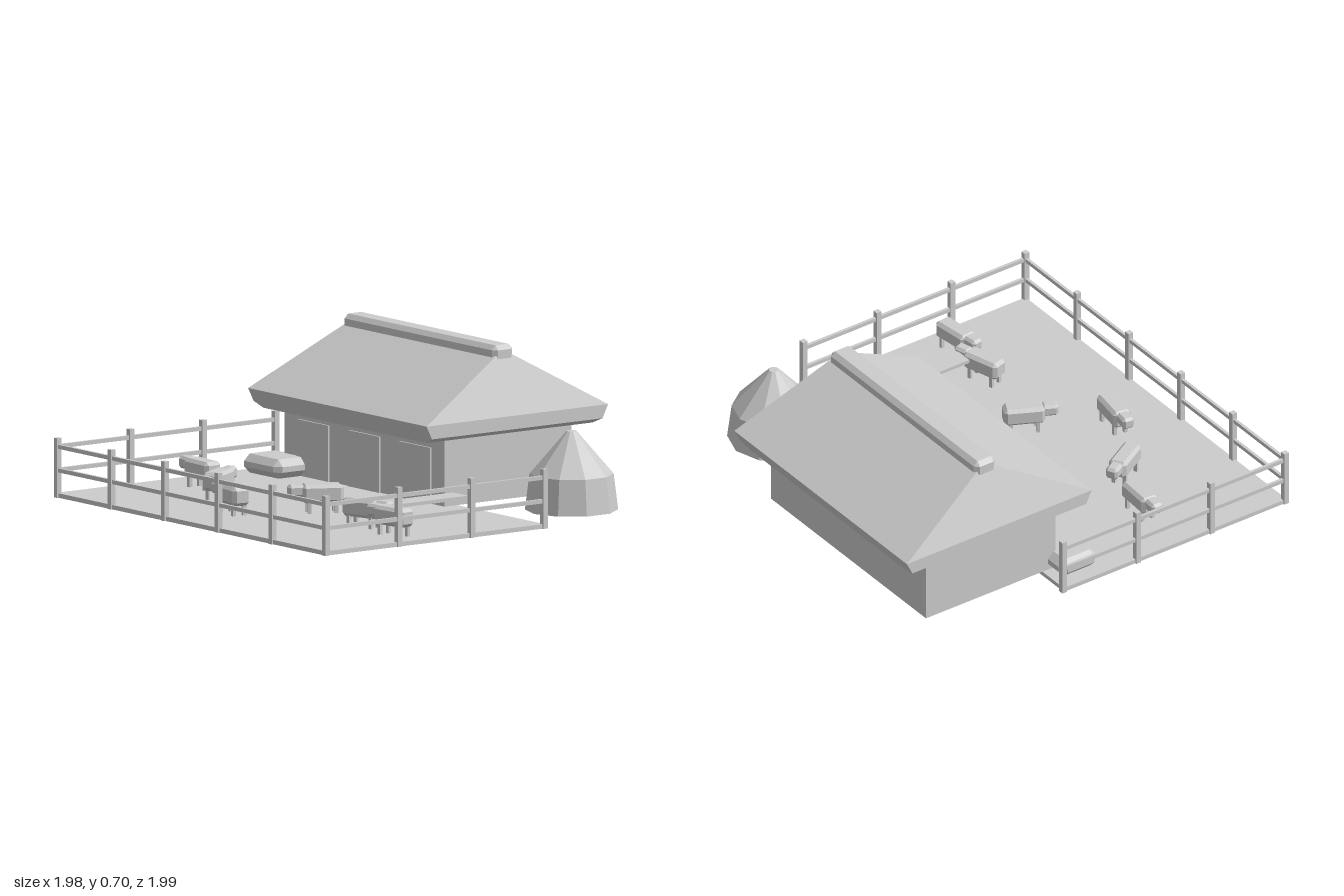
import * as THREE from 'three';
import { ConvexGeometry } from 'three/addons/geometries/ConvexGeometry.js';

const clay = new THREE.MeshStandardMaterial({ color: 0xcccccc });
clay.name = 'light grey';
clay.flatShading = true;

function add(parent, name, geometry, x = 0, y = 0, z = 0) {
  const mesh = new THREE.Mesh(geometry, clay);
  mesh.name = name;
  mesh.position.set(x, y, z);
  parent.add(mesh);
  return mesh;
}

// Box given by its limits on each axis
function span(parent, name, [x0, x1], [y0, y1], [z0, z1]) {
  return add(parent, name, new THREE.BoxGeometry(x1 - x0, y1 - y0, z1 - z0),
    (x0 + x1) / 2, (y0 + y1) / 2, (z0 + z1) / 2);
}

// Box with all edges chamfered by b
function chamferBox(w, h, d, b) {
  const points = [];
  for (const i of [-0.5, 0.5]) for (const j of [-0.5, 0.5]) for (const k of [-0.5, 0.5]) {
    const cx = Math.sign(i) * b, cy = Math.sign(j) * b, cz = Math.sign(k) * b;
    points.push(
      new THREE.Vector3(i * w, j * h - cy, k * d - cz),
      new THREE.Vector3(i * w - cx, j * h, k * d - cz),
      new THREE.Vector3(i * w - cx, j * h - cy, k * d));
  }
  return new ConvexGeometry(points);
}

function createBarn() {
  const barn = new THREE.Group();
  barn.name = 'barn';
  span(barn, 'walls', [-0.82, 0.345], [0.02, 0.33], [-0.85, -0.15]);
  for (const x of [-0.605, -0.235, 0.135])
    span(barn, 'door', [x - 0.115, x + 0.115], [0.02, 0.27], [-0.15, -0.142]);

  // Steep-ended roof: ridge, eave edge, and two tapering rings beneath it
  const points = [new THREE.Vector3(-0.77, 0.68, -0.5), new THREE.Vector3(0.305, 0.68, -0.5)];
  const ring = (y, x0, x1, z0, z1) => {
    for (const x of [x0, x1]) for (const z of [z0, z1]) points.push(new THREE.Vector3(x, y, z));
  };
  ring(0.40, -0.885, 0.412, -1, 0);
  ring(0.34, -0.885, 0.412, -0.97, -0.03);
  ring(0.315, -0.83, 0.355, -0.957, -0.043);
  add(barn, 'roof', new ConvexGeometry(points));
  add(barn, 'ridgeCap', chamferBox(1.11, 0.08, 0.112, 0.02), -0.235, 0.66, -0.5);
  return barn;
}

function createSilo() {
  const silo = new THREE.Group();
  silo.name = 'silo';
  silo.position.set(0.74, 0, -0.55);
  add(silo, 'siloWall', new THREE.CylinderGeometry(0.185, 0.205, 0.16, 10), 0, 0.1, 0);
  add(silo, 'siloRoof', new THREE.CylinderGeometry(0.022, 0.185, 0.19, 10), 0, 0.275, 0);
  return silo;
}

function createFence() {
  const fence = new THREE.Group();
  fence.name = 'fence';
  const post = (x, z) => add(fence, 'post', new THREE.BoxGeometry(0.025, 0.265, 0.025), x, 0.1325, z);
  for (let i = 0; i < 6; i++) post(-0.975 + i * 0.39, 0.98);
  for (const x of [-0.975, 0.975]) for (const z of [-0.22, 0.18, 0.58]) post(x, z);
  for (const y of [0.122, 0.227]) {
    add(fence, 'frontRail', new THREE.BoxGeometry(1.95, 0.018, 0.014), 0, y, 0.98);
    for (const x of [-0.975, 0.975])
      add(fence, 'sideRail', new THREE.BoxGeometry(0.014, 0.018, 1.2), x, y, 0.38);
  }
  return fence;
}

// Grazing animal facing the direction (dx, dz)
function createAnimal(x, z, dx, dz) {
  const animal = new THREE.Group();
  animal.name = 'animal';
  animal.position.set(x, 0, z);
  animal.rotation.y = Math.atan2(-dz, dx);
  add(animal, 'body', chamferBox(0.185, 0.083, 0.085, 0.015), 0, 0.107, 0);
  add(animal, 'head', chamferBox(0.075, 0.055, 0.058, 0.012), 0.115, 0.12, 0);
  for (const lx of [-0.06, 0.06]) for (const lz of [-0.026, 0.026])
    add(animal, 'leg', new THREE.BoxGeometry(0.016, 0.055, 0.016), lx, 0.0475, lz);
  return animal;
}

export function createModel() {
  const farm = new THREE.Group();
  farm.name = 'farmyard';
  span(farm, 'ground', [-0.98, 0.98], [0, 0.02], [-0.22, 0.985]);
  farm.add(createBarn(), createSilo(), createFence());

  // Hay bale and feeding board in the yard
  add(farm, 'hayBale', chamferBox(0.27, 0.085, 0.2, 0.03), -0.795, 0.0625, -0.09);
  span(farm, 'feedingBoard', [0.59, 0.7], [0.114, 0.13], [-0.01, 0.4]);

  const herd = [
    [-0.69, 0.4, -1, -0.06], [-0.42, 0.515, -0.5, -0.87], [0.14, 0.37, -0.45, 0.89],
    [-0.07, 0.705, -1, -0.15], [0.56, 0.46, 0.95, -0.28], [0.82, 0.49, -1, 0.11],
  ];
  for (const place of herd) farm.add(createAnimal(...place));
  return farm;
}
